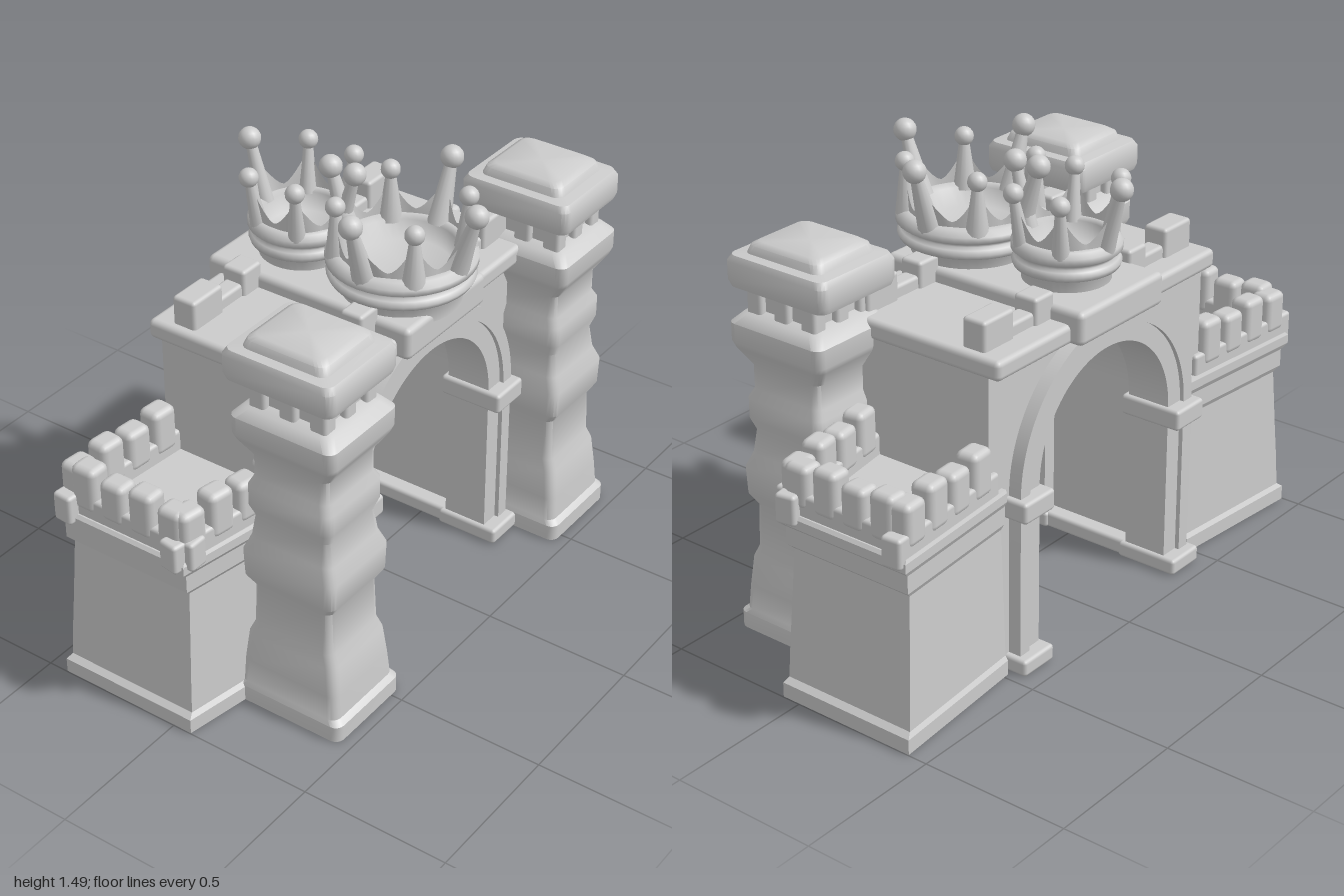
import * as THREE from 'three';
import { toCreasedNormals } from 'three/addons/utils/BufferGeometryUtils.js';
import { RoundedBoxGeometry } from 'three/addons/geometries/RoundedBoxGeometry.js';
import { ParametricGeometry } from 'three/addons/geometries/ParametricGeometry.js';

const stone = new THREE.MeshStandardMaterial({ color: 0xcccccc });
const thin = new THREE.MeshStandardMaterial({ color: 0xcccccc, side: THREE.DoubleSide });

function add(parent, name, geo, mat = stone) {
  const mesh = new THREE.Mesh(geo, mat);
  mesh.name = name;
  parent.add(mesh);
  return mesh;
}

// Rounded block given by its extents on each axis
function block(parent, name, x0, x1, y0, y1, z0, z1, r = 0.012) {
  const m = add(parent, name, new RoundedBoxGeometry(x1 - x0, y1 - y0, z1 - z0, 2, r));
  m.position.set((x0 + x1) / 2, (y0 + y1) / 2, (z0 + z1) / 2);
  return m;
}

// Stacks closed rings of [x, y, z] points into a capped solid
function loft(rings, crease = 0.7) {
  const pos = [], n = rings[0].length;
  const mid = ring => ring.reduce((c, p) => c.map((v, i) => v + p[i] / n), [0, 0, 0]);
  const last = rings[rings.length - 1], low = mid(rings[0]), high = mid(last);
  for (let i = 0; i < n; i++) {
    const j = (i + 1) % n;
    for (let k = 0; k < rings.length - 1; k++) {
      const [a, b, c, d] = [rings[k][i], rings[k][j], rings[k + 1][i], rings[k + 1][j]];
      pos.push(...a, ...c, ...b, ...b, ...c, ...d);
    }
    pos.push(...low, ...rings[0][i], ...rings[0][j], ...high, ...last[j], ...last[i]);
  }
  const g = new THREE.BufferGeometry();
  g.setAttribute('position', new THREE.Float32BufferAttribute(pos, 3));
  return toCreasedNormals(g, crease);
}

// Rounded rectangle ring
function squareRing(y, hx, hz, r = 0.03) {
  const ring = [];
  for (let q = 0; q < 4; q++) for (let i = 0; i <= 4; i++) {
    const a = (q + i / 4) * Math.PI / 2;
    const sx = q === 0 || q === 3 ? 1 : -1, sz = q < 2 ? 1 : -1;
    ring.push([sx * (hx - r) + r * Math.cos(a), y, sz * (hz - r) + r * Math.sin(a)]);
  }
  return ring;
}

// Square tower with bulging courses, a pillared lantern and a cap
function tower(s) {
  const g = new THREE.Group();
  g.name = 'tower';
  g.position.set(s * 0.615, 0, 0.26);
  const profile = [[0, 0.163, 0.2], [0.055, 0.163, 0.2], [0.07, 0.153, 0.182], [0.15, 0.147, 0.176],
    [0.25, 0.138, 0.165], [0.29, 0.128, 0.148], [0.44, 0.125, 0.143], [0.48, 0.147, 0.167], [0.57, 0.15, 0.17],
    [0.62, 0.132, 0.15], [0.7, 0.125, 0.138], [0.74, 0.14, 0.152], [0.81, 0.14, 0.152], [0.84, 0.125, 0.138],
    [0.92, 0.125, 0.138], [0.98, 0.157, 0.178], [1.0, 0.165, 0.185], [1.06, 0.165, 0.185],
    [1.09, 0.14, 0.155], [1.1, 0.105, 0.115], [1.2, 0.105, 0.115]];
  add(g, 'towerShaft', loft(profile.map(p => squareRing(...p))));
  for (let i = -1; i <= 1; i++) for (let j = -1; j <= 1; j++) {
    if (!i && !j) continue;
    block(g, 'lanternPillar', i * 0.1 - 0.027, i * 0.1 + 0.027, 1.07, 1.2, j * 0.108 - 0.03, j * 0.108 + 0.03);
  }
  const cap = [[1.17, 0.145, 0.165], [1.18, 0.162, 0.19], [1.2, 0.168, 0.197], [1.26, 0.168, 0.197],
    [1.28, 0.158, 0.185], [1.285, 0.13, 0.15], [1.31, 0.122, 0.14], [1.322, 0.105, 0.12]];
  add(g, 'towerCap', loft(cap.map(p => squareRing(...p)))).position.z = -0.012;
  return g;
}

// Side bastion: tapered body, cornice and battlements
function wing(s) {
  const g = new THREE.Group();
  g.name = 'sideBastion';
  const outline = [[0.48, -0.383], [0.985, -0.425], [0.985, 0.06], [0.48, 0.15]];
  const at = ([x, z], k) => [s * (0.5 + (x - 0.5) * k), -0.15 + (z + 0.15) * k];
  const ring = (y, k) => {
    const r = outline.map(p => { const [x, z] = at(p, k); return [x, y, z]; });
    return s > 0 ? r : r.reverse();
  };
  const levels = [[0, 1.025], [0.05, 1.025], [0.065, 0.985], [0.18, 0.97], [0.3, 0.95], [0.5, 0.92],
    [0.52, 0.965], [0.58, 0.965], [0.6, 1.01], [0.63, 1.01], [0.64, 0.99]];
  add(g, 'bastionBody', loft(levels.map(l => ring(...l)), 0.4));
  // One parapet edge: low wall with evenly spaced merlons
  const edge = (p, q, count) => {
    const [x0, z0] = p, [x1, z1] = q, len = Math.hypot(x1 - x0, z1 - z0);
    const e = new THREE.Group();
    e.name = 'battlement';
    e.position.set(s * (x0 + x1) / 2, 0, (z0 + z1) / 2);
    e.rotation.y = -Math.atan2(z1 - z0, s * (x1 - x0));
    block(e, 'parapet', -len / 2 - 0.03, len / 2 + 0.03, 0.61, 0.71, -0.035, 0.035);
    const w = len / count;
    for (let i = 0; i < count; i++) {
      const c = -len / 2 + (i + 0.5) * w;
      block(e, 'merlon', c - w / 2 + 0.009, c + w / 2 - 0.009, 0.66, i % 2 ? 0.8 : 0.815, -0.04, 0.04, 0.022);
    }
    g.add(e);
  };
  edge([0.54, -0.348], [0.98, -0.385], 4);
  edge([0.94, -0.38], [0.94, 0.055], 4);
  edge([0.55, 0.095], [0.98, 0.022], 4);
  return g;
}

// Solid of a wall face with an arched opening, between two z planes
function archSolid(rIn, outer, z0, z1, spring = 0.6, foot = 0) {
  const sh = new THREE.Shape();
  outer(sh);
  sh.lineTo(rIn, foot);
  sh.lineTo(rIn, spring);
  sh.absarc(0, spring, rIn, 0, Math.PI, false);
  sh.lineTo(-rIn, foot);
  const g = new THREE.ExtrudeGeometry(sh, { depth: z1 - z0, bevelEnabled: false, curveSegments: 40 });
  g.translate(0, 0, z0);
  return toCreasedNormals(g, 0.5);
}
const arched = r => sh => {
  sh.moveTo(-r, 0);
  sh.lineTo(-r, 0.6);
  sh.absarc(0, 0.6, r, Math.PI, 0, true);
  sh.lineTo(r, 0);
};
const squared = sh => {
  sh.moveTo(-0.54, 0);
  sh.lineTo(-0.54, 1.04);
  sh.lineTo(0.54, 1.04);
  sh.lineTo(0.54, 0);
};

// Crown with alternating spikes: tall and short are [ball radius from axis, ball height, ball size]
function crown(z, k, count, isTall, tall, short) {
  const g = new THREE.Group();
  g.name = 'crown';
  g.position.z = z;
  const band = [[0.19, 1.1], [0.19, 1.165], [0.225, 1.175], [0.232, 1.19], [0.222, 1.203], [0.208, 1.21],
    [0.215, 1.22], [0.235, 1.23], [0.235, 1.25], [0.215, 1.265], [0.195, 1.27], [0.172, 1.26], [0.155, 1.2], [0, 1.2]];
  add(g, 'crownBand', new THREE.LatheGeometry(band.map(([r, y]) => new THREE.Vector2(r * k, y)), 40));
  const base = 0.198 * k, step = Math.PI * 2 / count;
  const kind = i => (isTall((i + count) % count) ? tall : short);
  // Flared wall rising into a web at each spike
  add(g, 'crownWall', new ParametricGeometry((u, v, out) => {
    const t = u * count, i = Math.round(t), near = 1 - Math.abs(t - i) * 2;
    const [R, H] = kind(i), h = v * (0.035 + 0.1 * near ** 1.6);
    const r = base + (R - base) * near * h / (H - 1.25);
    out.set(r * Math.sin(u * Math.PI * 2), 1.25 + h, r * Math.cos(u * Math.PI * 2));
  }, count * 12, 6), thin);
  for (let i = 0; i < count; i++) {
    const [R, H, b] = kind(i), arm = new THREE.Group();
    arm.name = 'crownSpike';
    arm.rotation.y = i * step;
    const len = Math.hypot(R - base, H - 1.25);
    const rod = add(arm, 'spike', new THREE.CylinderGeometry(b * 0.45, 0.034 * k + 0.004, len, 12));
    rod.position.set(0, (H + 1.25) / 2, (R + base) / 2);
    rod.rotation.x = Math.atan2(R - base, H - 1.25);
    add(arm, 'spikeBall', new THREE.SphereGeometry(b, 16, 12)).position.set(0, H, R);
    g.add(arm);
  }
  return g;
}

export function createModel() {
  const model = new THREE.Group();
  model.name = 'castleGate';

  // Gatehouse body and the arch trim on both faces
  const gate = new THREE.Group();
  gate.name = 'gatehouse';
  model.add(gate);
  add(gate, 'gateBody', archSolid(0.385, squared, -0.365, 0.215));
  for (const f of [-1, 1]) {
    const span = (a, b) => [-0.07 + f * a, -0.07 + f * b].sort((p, q) => p - q);
    add(gate, 'archRing', archSolid(0.335, arched(0.415), ...span(0.17, 0.325)));
    add(gate, 'archMoulding', archSolid(0.4, arched(0.445), ...span(0.2, 0.34)));
    for (const s of [-1, 1]) {
      const xs = [s * 0.32, s * 0.465].sort((p, q) => p - q);
      block(gate, 'pierBase', ...xs, 0, 0.055, ...span(0.15, 0.375));
      block(gate, 'pierCapital', ...xs, 0.53, 0.6, ...span(0.15, 0.375));
      // Roof parapet with merlons
      const bx = (a, b) => [s * a, s * b].sort((p, q) => p - q);
      const zs = f > 0 ? [0.11, 0.19] : [-0.335, -0.25];
      block(gate, 'roofParapet', ...bx(0.18, 0.52), 1.06, 1.125, zs[0] + 0.01, zs[1] - 0.01);
      block(gate, 'roofMerlon', ...bx(0.38, 0.52), 1.06, 1.18, ...zs);
      block(gate, 'roofMerlon', ...bx(0.19, 0.28), 1.06, 1.17, ...zs);
    }
  }
  for (const s of [-1, 1]) {
    const xs = [s * 0.33, s * 0.43].sort((p, q) => p - q);
    block(gate, 'passagePlinth', ...xs, 0, 0.055, -0.35, 0.2);
  }
  block(gate, 'roofCornice', -0.55, 0.55, 1.02, 1.085, -0.41, 0.27, 0.018);
  block(gate, 'crownPlatform', -0.21, 0.21, 1.02, 1.13, -0.452, 0.312, 0.02);

  for (const s of [-1, 1]) model.add(tower(s), wing(s));
  model.add(crown(0.14, 1, 8, i => i % 2 === 0, [0.265, 1.455, 0.037], [0.203, 1.42, 0.031]));
  model.add(crown(-0.235, 0.73, 6, i => i % 3 === 0, [0.2, 1.455, 0.036], [0.175, 1.42, 0.031]));
  return model;
}
